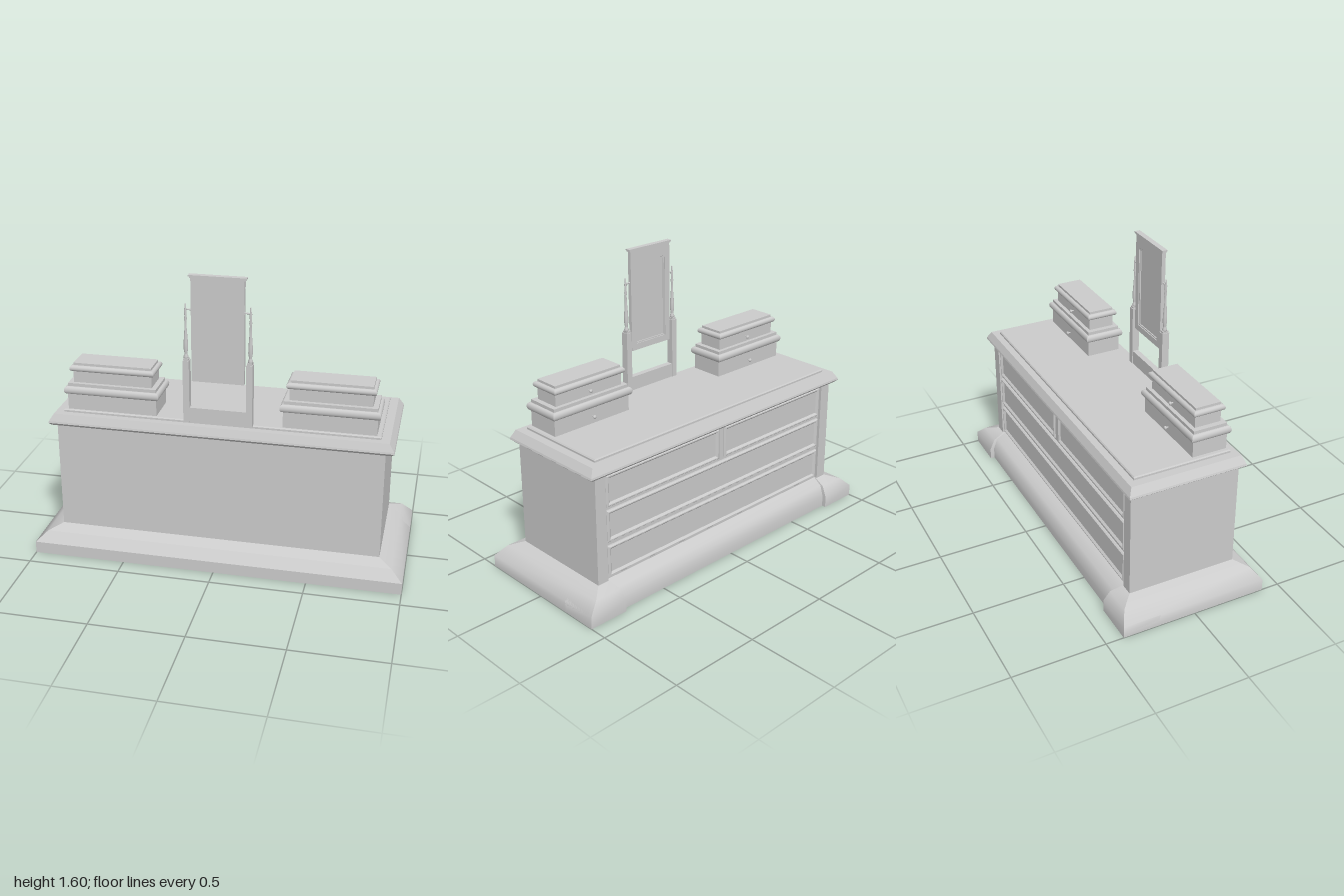
import * as THREE from 'three';
import { mergeGeometries } from 'three/addons/utils/BufferGeometryUtils.js';

const material = new THREE.MeshStandardMaterial({ color: 0xcccccc });

function add(parent, name, geometry, x = 0, y = 0, z = 0) {
  const mesh = new THREE.Mesh(geometry, material);
  mesh.name = name;
  mesh.position.set(x, y, z);
  parent.add(mesh);
  return mesh;
}

function boxBetween(parent, name, x0, x1, y0, y1, z0, z1) {
  return add(parent, name, new THREE.BoxGeometry(x1 - x0, y1 - y0, z1 - z0),
    (x0 + x1) / 2, (y0 + y1) / 2, (z0 + z1) / 2);
}

// Stack of rectangles [y, x0, x1, z0, z1]; the sides listed in smooth
// (0 front, 1 right, 2 back, 3 left) are shaded as one rounded moulding.
function moulding(rings, smooth = []) {
  const corners = rings.map(([y, x0, x1, z0, z1]) =>
    [[x0, y, z1], [x1, y, z1], [x1, y, z0], [x0, y, z0]]);
  const parts = [];
  const build = (points, index, isSmooth) => {
    let g = new THREE.BufferGeometry();
    g.setAttribute('position', new THREE.Float32BufferAttribute(points.flat(), 3));
    g.setIndex(index);
    if (isSmooth) g.computeVertexNormals();
    g = g.toNonIndexed();
    if (!isSmooth) g.computeVertexNormals();
    parts.push(g);
  };
  for (let s = 0; s < 4; s++) {
    const points = [], index = [];
    corners.forEach((c, i) => {
      points.push(c[s], c[(s + 1) % 4]);
      const k = i * 2;
      if (i < corners.length - 1) index.push(k, k + 1, k + 3, k, k + 3, k + 2);
    });
    build(points, index, smooth.includes(s));
  }
  build(corners[corners.length - 1], [0, 1, 2, 0, 2, 3], false);
  build(corners[0], [0, 2, 1, 0, 3, 2], false);
  return mergeGeometries(parts);
}

// Centred half-round band
function roundedBand(hx, hz, y0, y1, bulge) {
  const rings = [];
  for (let i = 0; i <= 8; i++) {
    const a = Math.PI * i / 8, e = bulge * Math.sin(a);
    rings.push([(y0 + y1) / 2 - Math.cos(a) * (y1 - y0) / 2, -hx - e, hx + e, -hz - e, hz + e]);
  }
  return moulding(rings, [0, 1, 2, 3]);
}

function createCabinet() {
  const cabinet = new THREE.Group();
  cabinet.name = 'cabinet';

  // Plinth, with its drawer side set back between two corner blocks
  add(cabinet, 'plinth', moulding([
    [0, -1, 1, -0.38, 0.403], [0.065, -1, 1, -0.38, 0.403],
    [0.12, -0.94, 0.94, -0.352, 0.36], [0.145, -0.87, 0.87, -0.29, 0.295],
  ], [1, 2, 3]));
  for (const s of [-1, 1]) {
    const ring = (y, inner, outer, z0) =>
      [y, Math.min(s * inner, s * outer), Math.max(s * inner, s * outer), z0, -0.2];
    add(cabinet, 'plinthCornerBlock', moulding([
      ring(0, 0.775, 1, -0.403), ring(0.065, 0.775, 1, -0.403),
      ring(0.12, 0.785, 0.94, -0.37), ring(0.145, 0.8, 0.87, -0.305),
    ], [1, 2, 3]));
    boxBetween(cabinet, 'cornerPillar', s > 0 ? 0.805 : -0.87, s > 0 ? 0.87 : -0.805,
      0.14, 0.745, -0.305, -0.27);
  }
  boxBetween(cabinet, 'carcass', -0.87, 0.87, 0.14, 0.745, -0.28, 0.295);

  // Drawer rails and centre divider
  for (const y of [0.145, 0.343, 0.541, 0.73])
    boxBetween(cabinet, 'drawerRail', -0.806, 0.806, y - 0.009, y + 0.009, -0.29, -0.27);
  boxBetween(cabinet, 'drawerDivider', -0.015, 0.015, 0.545, 0.735, -0.296, -0.27);

  // Two long drawers below a pair of short ones, each with a raised edge
  const drawers = [[0, 0.795, 0.245], [0, 0.795, 0.442],
    [-0.408, 0.388, 0.636], [0.408, 0.388, 0.636]];
  for (const [x, hw, y] of drawers) {
    const ring = (depth, inset) =>
      [depth, -hw + inset, hw - inset, -0.087 + inset, 0.087 - inset];
    const front = moulding([ring(0.275, 0), ring(0.295, 0), ring(0.302, 0.006),
      ring(0.302, 0.012), ring(0.292, 0.022)]);
    front.rotateX(-Math.PI / 2);
    add(cabinet, 'drawerFront', front, x, y, 0);
  }

  // Overhanging top and its raised panel
  add(cabinet, 'counterTop', moulding([
    [0.737, -0.9, 0.9, -0.322, 0.302], [0.75, -0.915, 0.915, -0.334, 0.312],
    [0.76, -0.912, 0.912, -0.332, 0.31], [0.8, -0.887, 0.887, -0.312, 0.294],
  ]));
  add(cabinet, 'topPanel', moulding([
    [0.795, -0.842, 0.842, -0.275, 0.258], [0.81, -0.842, 0.842, -0.275, 0.258],
    [0.816, -0.837, 0.837, -0.27, 0.253],
  ]));
  return cabinet;
}

function createJewelBox(x) {
  const box = new THREE.Group();
  box.name = 'jewelBox';
  box.position.set(x, 0, 0.152);
  // Each tier: half width, half depth, bottom, band bottom, band top, step top
  const tiers = [[0.242, 0.095, 0.812, 0.903, 0.945, 0.962],
    [0.213, 0.072, 0.96, 1.025, 1.057, 1.07]];
  for (const [hx, hz, y0, y1, y2, y3] of tiers) {
    boxBetween(box, 'tierBody', -hx, hx, y0, y1 + 0.01, -hz, hz);
    add(box, 'tierBand', roundedBand(hx + 0.002, hz + 0.002, y1, y2, 0.014));
    boxBetween(box, 'tierStep', -hx + 0.002, hx - 0.002, y2 - 0.01, y3, -hz + 0.002, hz - 0.002);
    // Drawer knob
    const ky = (y0 + y1) / 2 - 0.003;
    const stem = new THREE.CylinderGeometry(0.004, 0.004, 0.02, 12).rotateX(Math.PI / 2);
    add(box, 'knobStem', stem, 0, ky, -hz - 0.008);
    const knob = new THREE.SphereGeometry(0.01, 16, 10).scale(1, 1, 0.7);
    add(box, 'knob', knob, 0, ky, -hz - 0.016);
  }
  return box;
}

function createMirror() {
  const mirror = new THREE.Group();
  mirror.name = 'swingMirror';
  const z = 0.257;

  // Stand
  boxBetween(mirror, 'standRail', -0.155, 0.155, 0.812, 0.893, z - 0.016, z + 0.016);
  const profile = [[0, 0], [0.011, 0], [0.013, 0.01], [0.008, 0.022], [0.008, 0.03],
    [0.012, 0.055], [0.011, 0.09], [0.006, 0.16], [0.005, 0.2], [0.008, 0.212],
    [0.005, 0.225], [0.007, 0.258], [0.004, 0.272], [0.004, 0.29], [0, 0.295]]
    .map(([r, y]) => new THREE.Vector2(r, y));
  for (const s of [-1, 1]) {
    add(mirror, 'standPost', new THREE.BoxGeometry(0.033, 0.338, 0.04), s * 0.165, 0.981, z);
    add(mirror, 'postCap', new THREE.BoxGeometry(0.026, 0.012, 0.032), s * 0.165, 1.155, z);
    add(mirror, 'spindle', new THREE.LatheGeometry(profile, 16), s * 0.167, 1.158, z);
    const pivot = new THREE.CylinderGeometry(0.004, 0.004, 0.04, 10).rotateZ(Math.PI / 2);
    add(mirror, 'pivot', pivot, s * 0.15, 1.42, z);
  }

  // Backing board, arched frame and cornice
  boxBetween(mirror, 'mirrorPanel', -0.136, 0.136, 1.04, 1.59, z, z + 0.012);
  const archedOutline = (Type, w, bottom, shoulder, peak) => {
    const p = new Type();
    p.moveTo(-w, bottom);
    p.lineTo(w, bottom);
    p.lineTo(w, shoulder);
    p.quadraticCurveTo(0, 2 * peak - shoulder, -w, shoulder);
    p.closePath();
    return p;
  };
  const outer = new THREE.Shape([[-0.138, 1.04], [0.138, 1.04], [0.138, 1.592], [-0.138, 1.592]]
    .map(([x, y]) => new THREE.Vector2(x, y)));
  outer.holes.push(archedOutline(THREE.Path, 0.105, 1.075, 1.515, 1.55));
  add(mirror, 'mirrorFrame', new THREE.ExtrudeGeometry(outer,
    { depth: 0.012, bevelEnabled: false, curveSegments: 16 }), 0, 0, z - 0.011);
  const bead = archedOutline(THREE.Shape, 0.105, 1.075, 1.515, 1.55);
  bead.holes.push(archedOutline(THREE.Path, 0.098, 1.082, 1.51, 1.544));
  add(mirror, 'mirrorBead', new THREE.ExtrudeGeometry(bead,
    { depth: 0.006, bevelEnabled: false, curveSegments: 16 }), 0, 0, z - 0.006);
  boxBetween(mirror, 'mirrorCornice', -0.148, 0.148, 1.594, 1.602, z - 0.016, z + 0.014);
  boxBetween(mirror, 'corniceStep', -0.143, 0.143, 1.587, 1.595, z - 0.013, z + 0.013);
  return mirror;
}

export function createModel() {
  const model = new THREE.Group();
  model.name = 'dresser';
  model.add(createCabinet(), createJewelBox(-0.577), createJewelBox(0.577), createMirror());
  return model;
}
